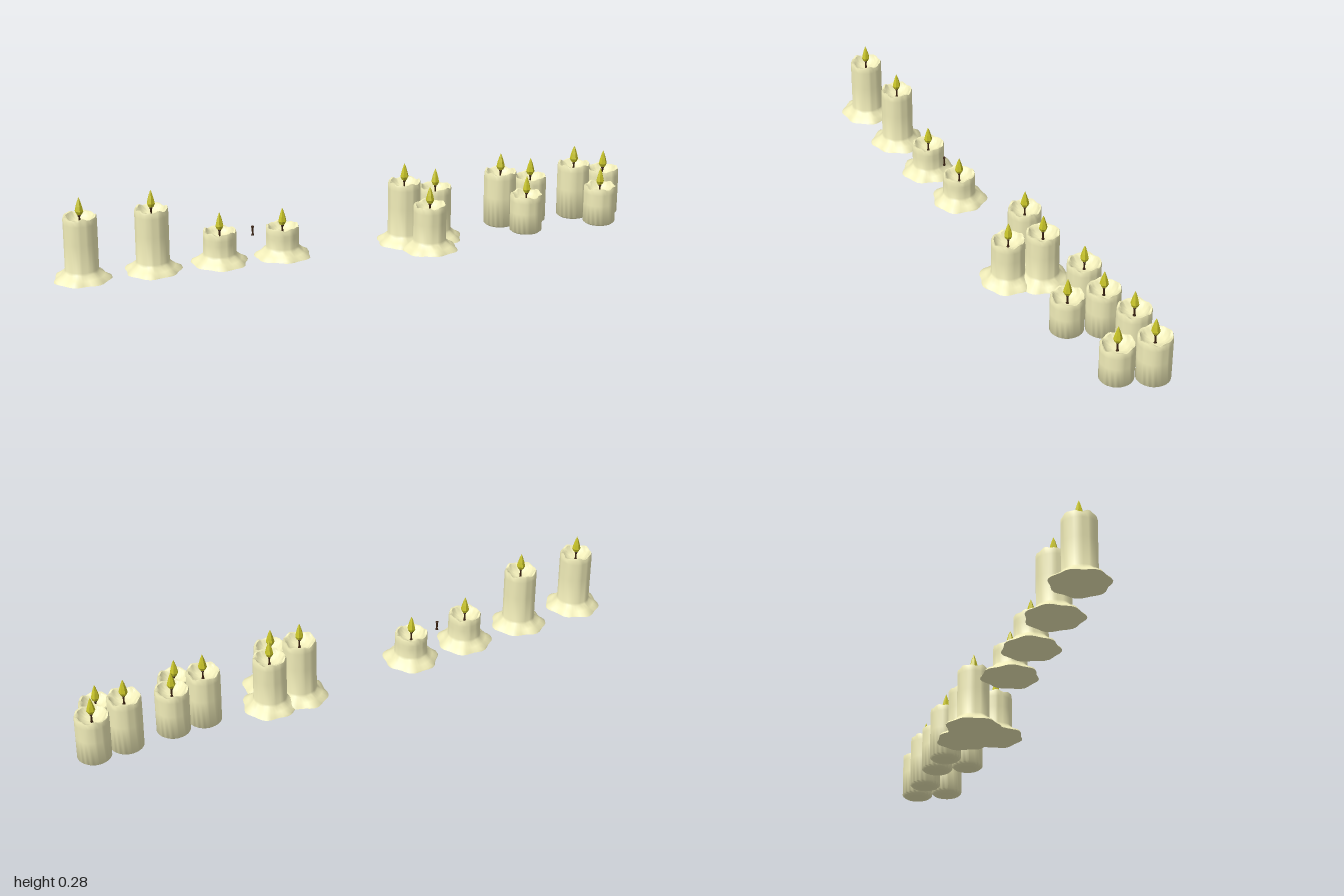
import * as THREE from 'three';
import { mergeVertices, toCreasedNormals } from 'three/addons/utils/BufferGeometryUtils.js';

const waxMat = new THREE.MeshStandardMaterial({ color: 0xf0ecb8 });
const wickMat = new THREE.MeshStandardMaterial({ color: 0x3a2210 });
const flameMat = new THREE.MeshStandardMaterial({ color: 0xc8c428, flatShading: true });

const R = 0.055; // candle radius
const lathe = (pts, n) => new THREE.LatheGeometry(pts.map(([x, y]) => new THREE.Vector2(x, y)), n);

// Wax body: wavy rim, melted bowl and either a lobed drip skirt or a rounded underside
function waxGeometry(h, skirt, seed) {
  const foot = skirt
    ? [[0, 0], [0.05, 0], [0.092, 0], [0.089, 0.005], [0.073, 0.014], [0.058, 0.027], [R, 0.035]]
    : [[0, 0.018], [0.03, 0.019], [0.048, 0.023], [R, 0.029]];
  const body = [[R, h * 0.55 + 0.01], [R, h - 0.022], [R, h - 0.006], [0.053, h], [0.047, h - 0.001],
    [0.041, h - 0.013], [0.03, h - 0.023], [0.015, h - 0.028], [0, h - 0.029]];
  let geo = lathe([...foot, ...body], 40);
  const p = geo.attributes.position;
  for (let i = 0; i < p.count; i++) {
    const x = p.getX(i), z = p.getZ(i), y = p.getY(i);
    const r = Math.hypot(x, z);
    if (r < 1e-5) continue;
    const a = Math.atan2(z, x);
    let s = 1, dy = 0;
    if (skirt && y < 0.03 && r > 0.04) {
      // melted lobes grow towards the outer edge
      const k = Math.max(0, (r - R) / 0.037);
      s += k * (0.045 * Math.sin(7 * a + seed) + 0.03 * Math.sin(3 * a + seed * 2));
      if (y > 0.002) dy = 0.002 * Math.sin(7 * a + seed);
    } else if (y > h - 0.008 && r > 0.045) {
      // uneven rim
      dy = 0.003 * Math.sin(5 * a + seed) + 0.002 * Math.sin(9 * a + seed * 3);
    } else if (y > 0.03 && r > 0.05) {
      // shallow runs down the side
      s += 0.012 * Math.sin(9 * a + seed);
    }
    p.setXYZ(i, x * s, y + dy, z * s);
  }
  geo.deleteAttribute('uv');
  geo.deleteAttribute('normal');
  geo = mergeVertices(geo, 1e-5);
  return toCreasedNormals(geo, 0.95);
}

// Wick with slightly flared ends
const wickGeo = lathe([[0, 0], [0.005, 0], [0.005, 0.003], [0.003, 0.006], [0.003, 0.026],
  [0.005, 0.029], [0.005, 0.032], [0, 0.032]], 8);

// Faceted teardrop flame
const flameGeo = lathe([[0, 0], [0.009, 0.004], [0.0145, 0.015], [0.0105, 0.032], [0.005, 0.05], [0, 0.062]], 6);

function mesh(name, geo, mat, x, y, z) {
  const m = new THREE.Mesh(geo, mat);
  m.name = name;
  m.position.set(x, y, z);
  return m;
}

function candle(name, x, z, h, skirt, seed) {
  const g = new THREE.Group();
  g.name = name;
  g.position.set(x, 0, z);
  const flame = mesh('flame', flameGeo, flameMat, 0, h + 0.001, 0);
  flame.rotation.y = seed;
  g.add(mesh('wax', waxGeometry(h, skirt, seed), waxMat, 0, 0, 0),
    mesh('wick', wickGeo, wickMat, 0, h - 0.03, 0), flame);
  return g;
}

// Three candles of descending height standing together
function cluster(name, x, skirt, seed) {
  const g = new THREE.Group();
  g.name = name;
  g.position.x = x;
  g.add(candle('tallCandle', -0.056, -0.047, 0.213, skirt, seed),
    candle('middleCandle', 0.056, -0.047, 0.184, skirt, seed + 1.3),
    candle('shortCandle', 0, 0.05, 0.155, skirt, seed + 2.6));
  return g;
}

export function createModel() {
  const model = new THREE.Group();
  model.name = 'candles';

  // Row of single candles
  [[-0.905, 0.213], [-0.67, 0.213], [-0.443, 0.11], [-0.227, 0.102]].forEach(([x, h], i) =>
    model.add(candle('singleCandle' + (i + 1), x, -0.05, h, true, i * 0.9)));

  // Loose wick between the short candles
  model.add(mesh('looseWick', wickGeo, wickMat, -0.33, 0.08, -0.05));

  // Clusters, the first with drip skirts
  model.add(cluster('meltedCluster', 0.26, true, 0.5),
    cluster('plainCluster1', 0.612, false, 1.1),
    cluster('plainCluster2', 0.888, false, 1.1));
  return model;
}
